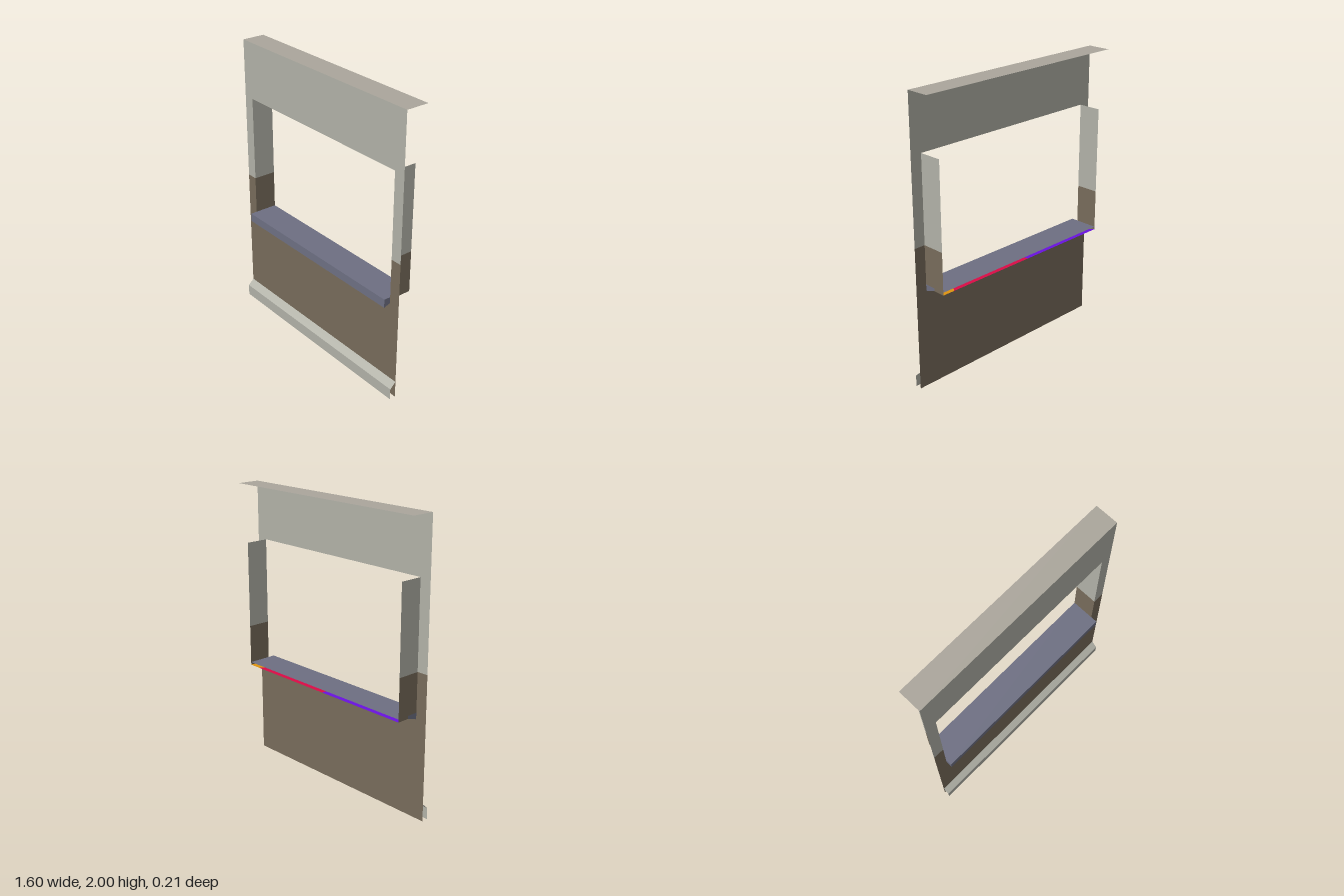
import * as THREE from 'three';

const paint = (name, color) =>
  new THREE.MeshStandardMaterial({ name, color, side: THREE.DoubleSide });

export function createModel() {
  const plaster = paint('grey plaster', 0xb2b2a8);
  const roofing = paint('warm grey coping', 0xaca79d);
  const cladding = paint('brown cladding', 0x786c5b);
  const slate = paint('blue grey sill', 0x6e7083);
  const orange = paint('orange', 0xe09410);
  const red = paint('red', 0xdc0c48);
  const violet = paint('violet', 0x6a12e0);

  const W = 0.8, H = 2;                 // half width and height of the panel
  const OX = 0.72, OTOP = 1.6;          // window opening
  const SPLIT = 1;                      // plaster above, cladding below
  const ZW = 0.057, ZB = -0.105, ZF = 0.105; // wall plane, back and front
  const SILL = 0.73, UNDER = 0.71, LIP = 0.67, FOLD = -0.02;

  const group = new THREE.Group();
  group.name = 'windowPanel';

  // A flat sheet: a 2D outline placed in space by a mapping rule
  function sheet(name, material, outline, place) {
    const geo = new THREE.ShapeGeometry(
      new THREE.Shape(outline.map(([u, v]) => new THREE.Vector2(u, v))));
    const p = geo.attributes.position;
    for (let i = 0; i < p.count; i++) p.setXYZ(i, ...place(p.getX(i), p.getY(i)));
    geo.computeVertexNormals();
    const mesh = new THREE.Mesh(geo, material);
    mesh.name = name;
    group.add(mesh);
  }
  const onWall = (x, y) => [x, y, ZW];
  const sideways = x => (z, y) => [x, y, z];

  // A strip spanning the width between two (z, y) edges
  const strip = (name, material, half, [z0, y0], [z1, y1]) =>
    sheet(name, material, [[-half, 0], [half, 0], [half, 1], [-half, 1]],
      (x, t) => [x, y0 + (y1 - y0) * t, z0 + (z1 - z0) * t]);

  // Wall with the window opening
  sheet('upperWall', plaster, [
    [-W, SPLIT], [-OX, SPLIT], [-OX, OTOP], [OX, OTOP],
    [OX, SPLIT], [W, SPLIT], [W, H], [-W, H]], onWall);
  sheet('lowerWall', cladding, [
    [-W, 0], [W, 0], [W, SPLIT], [OX, SPLIT],
    [OX, 0.69], [-OX, 0.69], [-OX, SPLIT], [-W, SPLIT]], onWall);

  // Top coping and skirting
  strip('coping', roofing, W, [ZW, H], [ZB, H]);
  strip('skirtingFront', plaster, W, [0.1, 0], [0.1, 0.08]);
  strip('skirtingSlope', plaster, W, [0.1, 0.08], [ZW, 0.12]);

  // Window jambs and sill ends on both sides
  for (const [side, x] of [['left', OX], ['right', -OX]]) {
    sheet(side + 'JambUpper', plaster,
      [[ZB, SPLIT], [ZW, SPLIT], [ZW, OTOP], [ZB, OTOP]], sideways(x));
    sheet(side + 'JambLower', cladding,
      [[ZB, UNDER], [FOLD, UNDER], [FOLD, SILL], [ZW, SILL], [ZW, SPLIT], [ZB, SPLIT]],
      sideways(x));
    sheet(side + 'SillEnd', slate,
      [[ZF, LIP], [ZF, SILL], [FOLD, SILL], [FOLD, UNDER]], sideways(x));
  }

  // Sill, open at the back
  const slopeY = z => z < FOLD ? UNDER : UNDER - (UNDER - LIP) * (z - FOLD) / (ZF - FOLD);
  strip('sillTop', slate, OX, [ZF, SILL], [ZB, SILL]);
  strip('sillFront', slate, OX, [ZF, LIP], [ZF, SILL]);
  strip('sillLip', slate, OX, [ZF, LIP], [ZW, slopeY(ZW)]);

  // Coloured bands under the sill: [material, front edge x, back edge x] from left to right
  const bands = [[orange, 0.52, 0.63], [red, -0.03, -0.03], [violet, -0.58, -OX], [cladding, -OX, -OX]];
  let front = OX, back = OX;
  for (const [material, f, b] of bands) {
    const edge = (a, c, z) => a + (c - a) * (ZW - z) / (ZW - ZB);
    for (const [z0, z1] of [[ZW, FOLD], [FOLD, ZB]]) {
      const outline = [
        [edge(front, back, z0), z0], [edge(f, b, z0), z0],
        [edge(f, b, z1), z1], [edge(front, back, z1), z1]];
      // Drop the doubled corner where a band tapers to a point
      const clean = outline.filter(([x, z], i) =>
        !outline.slice(0, i).some(q => Math.hypot(q[0] - x, q[1] - z) < 1e-6));
      sheet('sillUnderside', material, clean, (x, z) => [x, slopeY(z), z]);
    }
    front = f;
    back = b;
  }
  return group;
}
